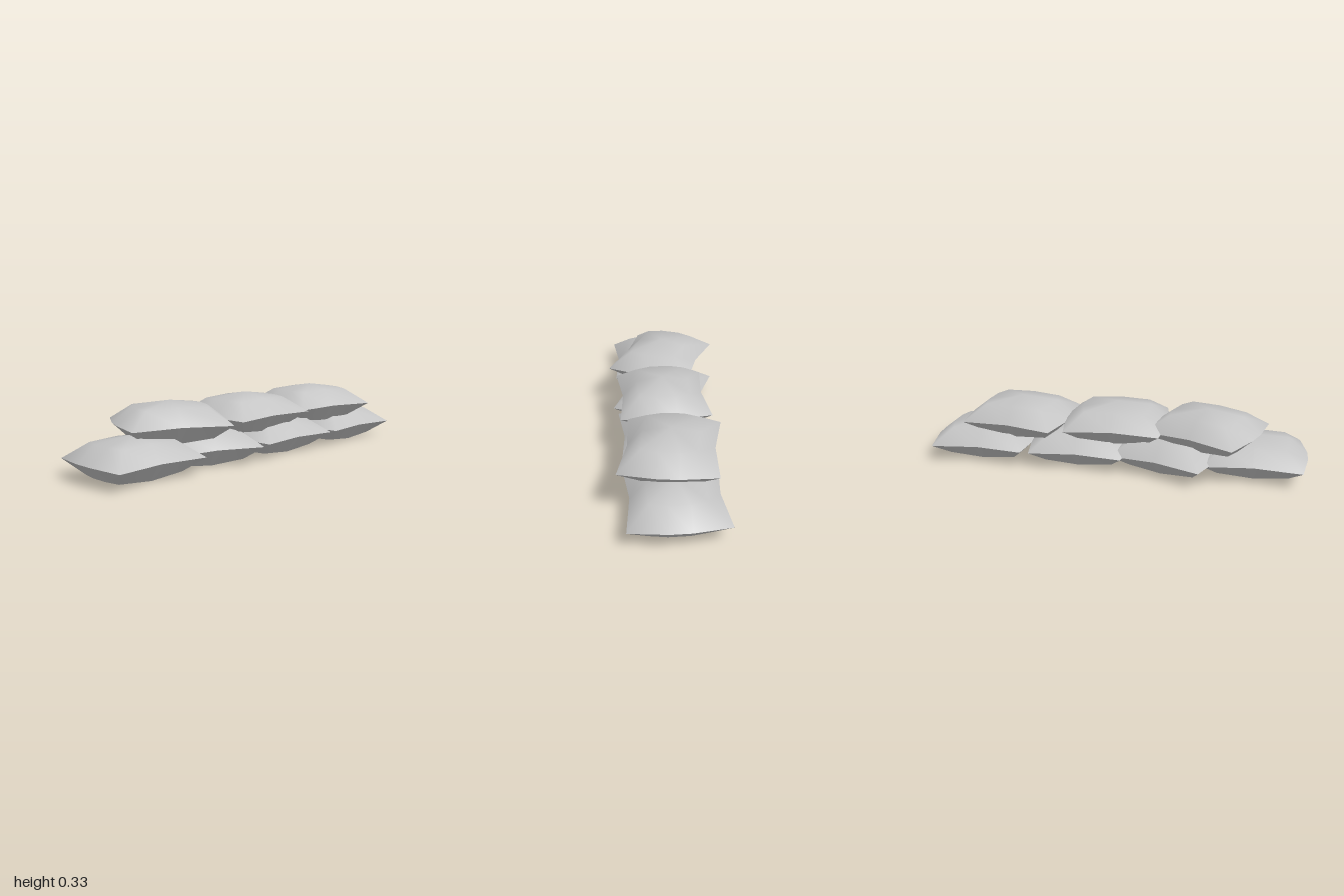
import * as THREE from 'three';
import { mergeVertices } from 'three/addons/utils/BufferGeometryUtils.js';

// Outline of ten points, counter-clockwise from above: bulging sides, pinched front and back
function ring([cx, cz, cy], midZ, midY, sideX, sideY) {
  return [
    [sideX, sideY, 0.05], [sideX, sideY, -0.05],
    [cx, cy, -cz], [0, midY, -midZ], [-cx, cy, -cz],
    [-sideX, sideY, -0.05], [-sideX, sideY, 0.05],
    [-cx, cy, cz], [0, midY, midZ], [cx, cy, cz],
  ];
}

const point = (y) => Array.from({ length: 10 }, () => [0, y, 0]);

// Smooth surface through rings listed from the lowest to the highest
function skin(rings) {
  const position = [];
  for (let r = 0; r < rings.length - 1; r++) {
    const a = rings[r], b = rings[r + 1], n = a.length;
    for (let i = 0; i < n; i++) {
      const j = (i + 1) % n;
      position.push(...a[i], ...a[j], ...b[i], ...a[j], ...b[j], ...b[i]);
    }
  }
  const geometry = new THREE.BufferGeometry();
  geometry.setAttribute('position', new THREE.Float32BufferAttribute(position, 3));
  const merged = mergeVertices(geometry);
  merged.computeVertexNormals();
  return merged;
}

export function createModel() {
  const model = new THREE.Group();
  model.name = 'sandbagWall';
  // The bags are open underneath, so the cloth shows from both sides
  const cloth = new THREE.MeshStandardMaterial({ color: 0xc4c4c4, side: THREE.DoubleSide });
  cloth.name = 'greyCloth';

  const seam = ring([0.245, 0.231, 0], 0.207, 0.003, 0.275, 0.005);
  const shoulder = ring([0.155, 0.13, 0.078], 0.134, 0.085, 0.178, 0.081);
  const hem = ring([0.18, 0.13, -0.072], 0.13, -0.087, 0.195, -0.072);

  // Separate skins keep the seam sharp
  const parts = {
    upperCloth: skin([seam, shoulder, point(0.108)]),
    lowerCloth: skin([hem, seam]),
  };

  // x, seam height, z, turn
  const bags = [
    [-0.725, 0.087, 0.034, 0],
    [-0.29, 0.087, 0, -0.28],
    [0.19, 0.087, 0.034, 0],
    [0.725, 0.087, 0.034, 0],
    [-0.48, 0.223, -0.002, -0.39],
    [0, 0.223, 0.032, 0.015],
    [0.52, 0.223, 0.033, -0.15],
  ];
  bags.forEach(([x, y, z, turn], i) => {
    const bag = new THREE.Group();
    bag.name = i < 4 ? `lowerBag${i + 1}` : `upperBag${i - 3}`;
    for (const [name, geometry] of Object.entries(parts)) {
      const mesh = new THREE.Mesh(geometry, cloth);
      mesh.name = name;
      bag.add(mesh);
    }
    bag.position.set(x, y, z);
    bag.rotation.y = turn;
    model.add(bag);
  });
  return model;
}
